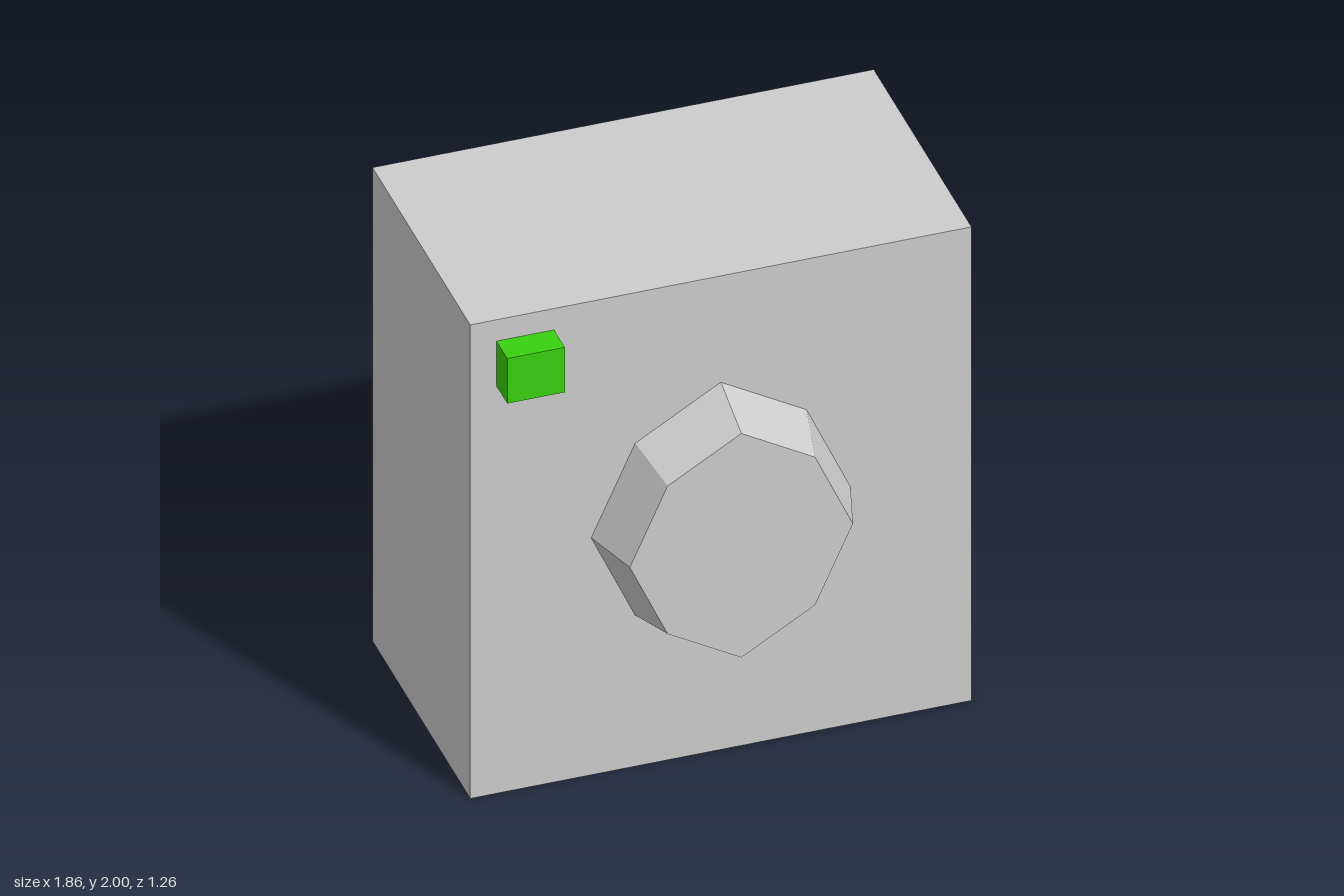
import * as THREE from 'three';

export function createModel() {
  const model = new THREE.Group();
  model.name = 'boxWithDial';
  const grey = new THREE.MeshStandardMaterial({ color: 0xcccccc });
  grey.name = 'light grey';
  const green = new THREE.MeshStandardMaterial({ color: 0x3ad010 });
  green.name = 'bright green';

  const add = (name, geometry, material, x, y, z) => {
    const mesh = new THREE.Mesh(geometry, material);
    mesh.name = name;
    mesh.position.set(x, y, z);
    model.add(mesh);
  };

  // Main cabinet, set back so the dial reaches the front limit
  add('body', new THREE.BoxGeometry(1.855, 2, 1.038), grey, 0, 1, -0.109);

  // Small button at the upper corner of the front
  add('button', new THREE.BoxGeometry(0.213, 0.19, 0.115), green, -0.724, 1.815, 0.4675);

  // Tapered eight-sided dial; its diagonal corners are pulled in a little
  const dial = new THREE.CylinderGeometry(0.86, 1, 0.218, 8).rotateX(Math.PI / 2).toNonIndexed();
  const p = dial.attributes.position;
  for (let i = 0; i < p.count; i++) {
    const x = p.getX(i), y = p.getY(i);
    const pull = Math.abs(x * y) > 0.1 ? 0.934 : 1;
    p.setXY(i, x * 0.48 * pull, y * 0.55 * pull);
  }
  dial.computeVertexNormals();
  add('dial', dial, grey, 0, 1.001, 0.519);

  return model;
}
